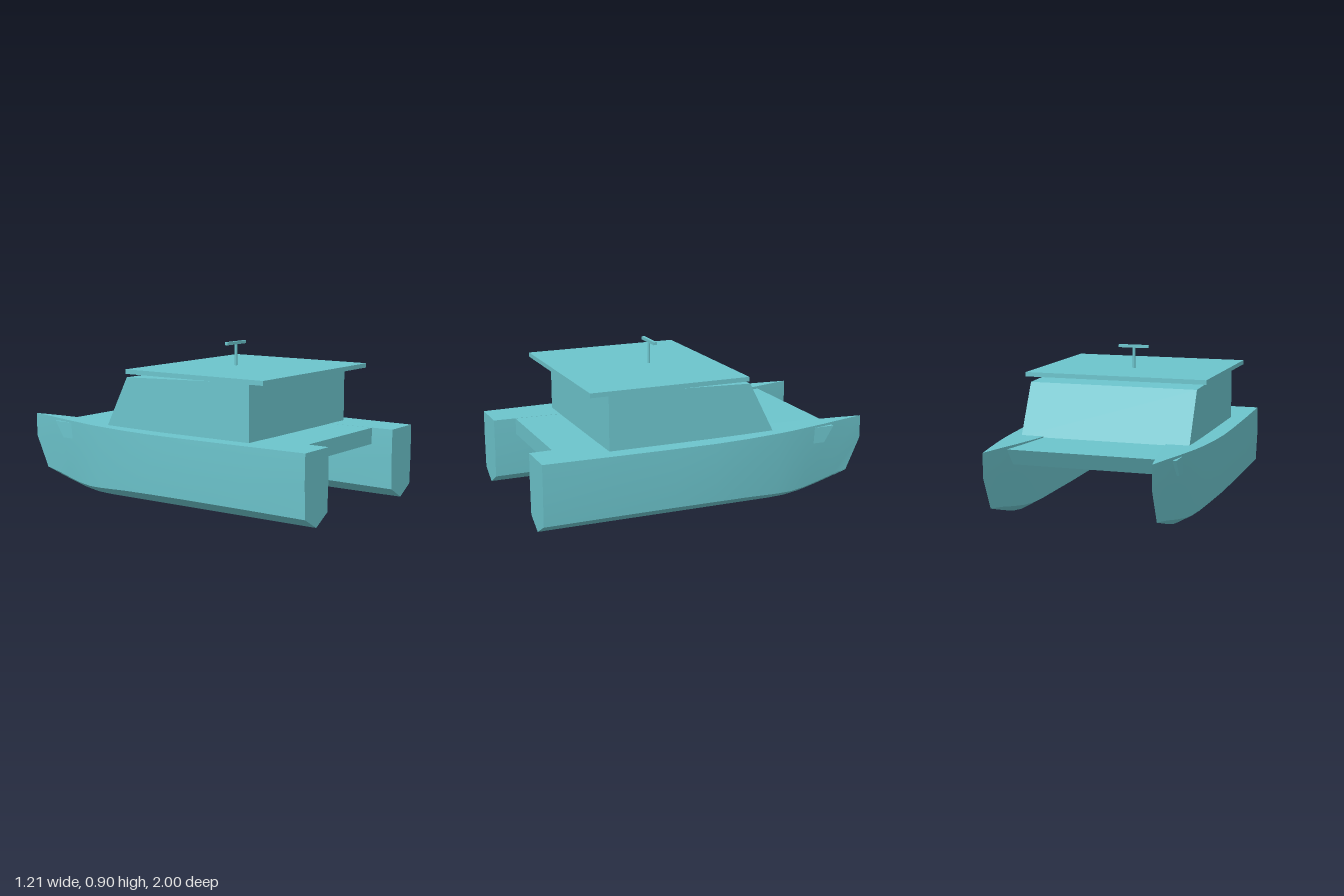
import * as THREE from 'three';
import { toCreasedNormals } from 'three/addons/utils/BufferGeometryUtils.js';

// Stations from stern to bow: z, zBottom, halfDeck, halfMid, halfChine, deckY, midY, chineY, keelY
const STATIONS = [
  [1, 1, 0.115, 0.118, 0.11, 0.41, 0.25, 0.062, 0],
  [0.6, 0.6, 0.126, 0.129, 0.12, 0.41, 0.25, 0.068, 0],
  [0.25, 0.25, 0.132, 0.135, 0.126, 0.41, 0.25, 0.071, 0],
  [0, 0, 0.132, 0.135, 0.126, 0.41, 0.25, 0.07, 0],
  [-0.2, -0.2, 0.123, 0.124, 0.115, 0.412, 0.25, 0.065, 0],
  [-0.4, -0.4, 0.104, 0.104, 0.094, 0.415, 0.25, 0.053, 0],
  [-0.5, -0.5, 0.091, 0.09, 0.078, 0.417, 0.25, 0.049, 0.004],
  [-0.6, -0.59, 0.075, 0.073, 0.06, 0.42, 0.255, 0.055, 0.018],
  [-0.72, -0.69, 0.054, 0.051, 0.04, 0.423, 0.265, 0.07, 0.042],
  [-0.85, -0.8, 0.029, 0.027, 0.021, 0.427, 0.275, 0.091, 0.073],
  [-1, -0.915, 0, 0, 0, 0.43, 0.295, 0.113, 0.107],
];

// Hull lofted through seven-point V-bottom sections, with deck and transom
function hullGeometry() {
  const pos = [], index = [], n = 7;
  for (const [z, zb, d, m, c, yd, ym, yc, yk] of STATIONS) {
    pos.push(-d, yd, z, -m, ym, z, -c, yc, zb, 0, yk, zb, c, yc, zb, m, ym, z, d, yd, z);
  }
  for (let j = 0; j < STATIONS.length - 1; j++) {
    for (let i = 0; i < n; i++) {
      const a = j * n + i, b = j * n + (i + 1) % n;
      index.push(a, a + n, b + n, a, b + n, b);
    }
  }
  for (let i = 1; i < n - 1; i++) index.push(0, i, i + 1);
  const g = new THREE.BufferGeometry();
  g.setAttribute('position', new THREE.Float32BufferAttribute(pos, 3));
  g.setIndex(index);
  return toCreasedNormals(g, 0.35);
}

// Extrude a (z, y) side profile across the width, centred on x = 0
function crossProfile(points, width) {
  const shape = new THREE.Shape(points.map(([z, y]) => new THREE.Vector2(-z, y)));
  const g = new THREE.ExtrudeGeometry(shape, { depth: width, bevelEnabled: false });
  g.translate(0, 0, -width / 2);
  g.rotateY(Math.PI / 2);
  return g;
}

export function createModel() {
  const boat = new THREE.Group();
  boat.name = 'catamaran';
  const paint = new THREE.MeshStandardMaterial({ color: 0x6cc4cc });
  paint.name = 'turquoise';

  const add = (name, geometry, x = 0, y = 0, z = 0) => {
    const mesh = new THREE.Mesh(geometry, paint);
    mesh.name = name;
    mesh.position.set(x, y, z);
    boat.add(mesh);
  };

  // Twin hulls
  const hull = hullGeometry();
  add('leftHull', hull, 0.468);
  add('rightHull', hull, -0.468);

  // Bridge deck with raked leading edge
  add('bridgeDeck', crossProfile(
    [[0.87, 0.315], [0.87, 0.409], [-0.78, 0.409], [-0.72, 0.315]], 1.066));

  // Cabin with sloping windscreen and roof line
  add('cabin', crossProfile(
    [[0.595, 0.4], [0.595, 0.731], [-0.25, 0.704], [-0.4, 0.409], [-0.4, 0.4]], 1.0));

  // Overhanging roof
  add('roof', new THREE.BoxGeometry(1.092, 0.026, 0.935), 0, 0.743, 0.248);

  // Mast and crossbar
  add('mast', new THREE.CylinderGeometry(0.008, 0.008, 0.13, 12), 0, 0.816, 0.158);
  add('mastCrossbar', new THREE.BoxGeometry(0.186, 0.017, 0.02), 0, 0.887, 0.155);

  return boat;
}
